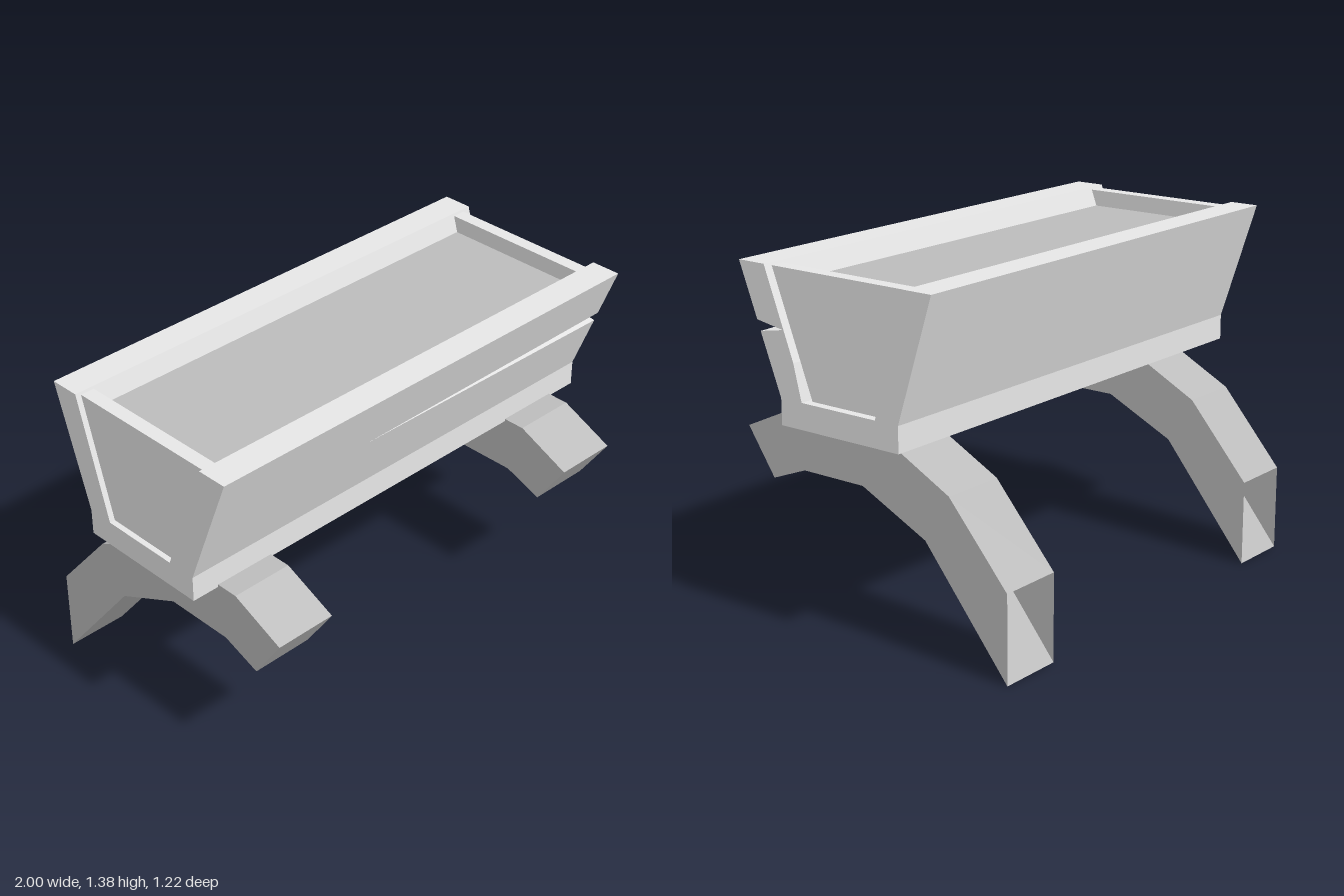
import * as THREE from 'three';

const paleGrey = new THREE.MeshStandardMaterial({ color: 0xe7e7e7 });
paleGrey.name = 'paleGrey';
const midGrey = new THREE.MeshStandardMaterial({ color: 0xbcbcbc, side: THREE.DoubleSide });
midGrey.name = 'midGrey';

// Flat-faced loft along x. Each section is [x, [[z, y], ...]], with points
// running bottom back, top back, top front, bottom front.
function loft(sections, openEdge = -1) {
  const positions = [];
  const a = new THREE.Vector3(), b = new THREE.Vector3();
  const tri = (p, q, r) => {
    a.subVectors(q, p);
    b.subVectors(r, p);
    if (a.cross(b).length() > 1e-9) for (const v of [p, q, r]) positions.push(v.x, v.y, v.z);
  };
  const rings = sections.map(([x, pts]) => pts.map(([z, y]) => new THREE.Vector3(x, y, z)));
  const n = rings[0].length;

  // Sides
  for (let s = 0; s + 1 < rings.length; s++) {
    const r0 = rings[s], r1 = rings[s + 1];
    for (let i = 0; i < n; i++) {
      if (i === openEdge) continue;
      const j = (i + 1) % n;
      tri(r0[i], r0[j], r1[j]);
      tri(r0[i], r1[j], r1[i]);
    }
  }

  // End caps, turned to face outwards
  for (const [ring, dir] of [[rings[0], -1], [rings[rings.length - 1], 1]]) {
    const contour = ring.map((v) => new THREE.Vector2(v.z, v.y));
    for (const [i, j, k] of THREE.ShapeUtils.triangulateShape(contour, [])) {
      const p = ring[i], q = ring[j], r = ring[k];
      const facing = (q.y - p.y) * (r.z - p.z) - (q.z - p.z) * (r.y - p.y);
      if (facing * dir > 0) tri(p, q, r);
      else tri(p, r, q);
    }
  }

  const geometry = new THREE.BufferGeometry();
  geometry.setAttribute('position', new THREE.Float32BufferAttribute(positions, 3));
  geometry.computeVertexNormals();
  return geometry;
}

const prism = (x0, x1, pts, openEdge) => loft([[x0, pts], [x1, pts]], openEdge);

export function createModel() {
  const model = new THREE.Group();
  model.name = 'planterBox';
  const add = (name, geometry, material) => {
    const mesh = new THREE.Mesh(geometry, material);
    mesh.name = name;
    model.add(mesh);
    return mesh;
  };

  // Base board
  add('baseBoard', new THREE.BoxGeometry(2, 0.1, 0.55), paleGrey).position.set(0, 0.85, 0.025);

  // Leaning front board, with a crack that opens towards its left end
  const frontSection = (innerBottom, low, tip, high) => [
    [innerBottom, 0.9], [0.235, 1.04], [0.363, 1.375], [0.485, 1.375],
    high, tip, low, [0.3, 0.9],
  ];
  const closed = [0.397, 1.15];
  add('frontBoard', loft([
    [-1, frontSection(0.18, closed, closed, closed)],
    [-0.26, frontSection(0.185, closed, closed, closed)],
    [1, frontSection(0.2, [0.39, 1.13], [0.28, 1.15], [0.405, 1.17])],
  ]), paleGrey);

  // Leaning back board
  add('backBoard', prism(-1, 1, [
    [-0.25, 0.9], [-0.405, 1.375], [-0.285, 1.375], [-0.145, 0.9],
  ]), paleGrey);

  // End panels between the boards
  const panel = [[-0.146, 0.9], [-0.284, 1.365], [0.358, 1.365], [0.18, 0.9]];
  add('leftPanel', prism(0.912, 0.966, panel), paleGrey);
  add('rightPanel', prism(-0.978, -0.922, panel), paleGrey);

  // Soil filling the box
  add('soil', prism(-0.922, 0.912, [
    [-0.146, 0.901], [-0.265, 1.3], [0.334, 1.3], [0.182, 0.901],
  ]), midGrey);

  // Bent legs, hollow at the back foot
  const leg = [
    [-0.61, 0], [-0.61, 0.34], [-0.355, 0.635], [-0.02, 0.81], [0.39, 0.81],
    [0.61, 0.71], [0.487, 0.53], [0.33, 0.59], [0.045, 0.59], [-0.245, 0.45],
  ];
  add('leftLeg', prism(0.603, 0.864, leg, 0), midGrey);
  add('rightLeg', prism(-0.888, -0.639, leg, 0), midGrey);

  return model;
}
